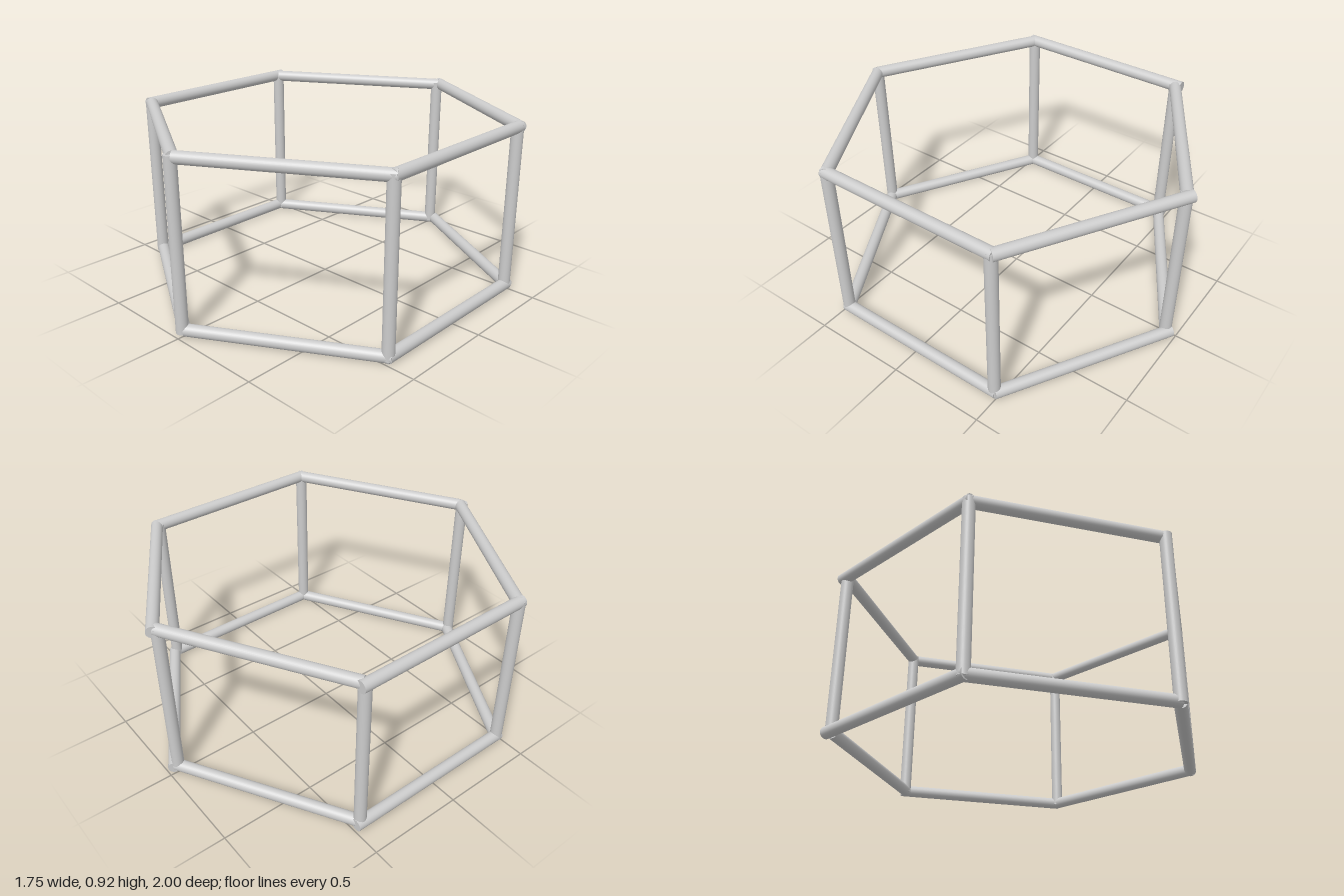
import * as THREE from 'three';

const R = 0.031;        // tube radius
const LOW = 0.031;      // height of the lower ring's axis
const HIGH = 0.887;     // height of the upper ring's axis

export function createModel() {
  const model = new THREE.Group();
  model.name = 'hexagonalFrame';
  const material = new THREE.MeshStandardMaterial({ color: 0xcccccc });

  // Round, capped bar between two points
  function bar(name, a, b) {
    const dir = b.clone().sub(a);
    const mesh = new THREE.Mesh(new THREE.CylinderGeometry(R, R, dir.length(), 32), material);
    mesh.name = name;
    mesh.position.copy(a).add(b).multiplyScalar(0.5);
    mesh.quaternion.setFromUnitVectors(new THREE.Vector3(0, 1, 0), dir.normalize());
    return mesh;
  }

  // Rail ends [x1, z1, x2, z2]; the bars overlap slightly at the corners
  const rails = {
    frontRight: [-0.85, 0.47, 0, 0.96],
    frontLeft: [0, 0.957, 0.853, 0.466],
    left: [0.84, 0.488, 0.84, -0.497],
    backLeft: [0.008, -0.973, 0.85, -0.487],
    backRight: [-0.828, -0.46, 0.022, -0.951],
    right: [-0.843, -0.49, -0.843, 0.495],
  };
  for (const [ring, y] of [['lower', LOW], ['upper', HIGH]]) {
    const group = new THREE.Group();
    group.name = ring + 'Ring';
    for (const [side, [x1, z1, x2, z2]] of Object.entries(rails)) {
      group.add(bar(side + 'Rail', new THREE.Vector3(x1, y, z1), new THREE.Vector3(x2, y, z2)));
    }
    model.add(group);
  }

  // Upright posts at the six corners [x, z]
  const posts = {
    front: [-0.01, 0.965],
    frontLeft: [0.838, 0.475],
    backLeft: [0.838, -0.48],
    back: [0.015, -0.945],
    backRight: [-0.833, -0.457],
    frontRight: [-0.843, 0.477],
  };
  for (const [corner, [x, z]] of Object.entries(posts)) {
    model.add(bar(corner + 'Post', new THREE.Vector3(x, 0.018, z), new THREE.Vector3(x, 0.9, z)));
  }
  return model;
}
